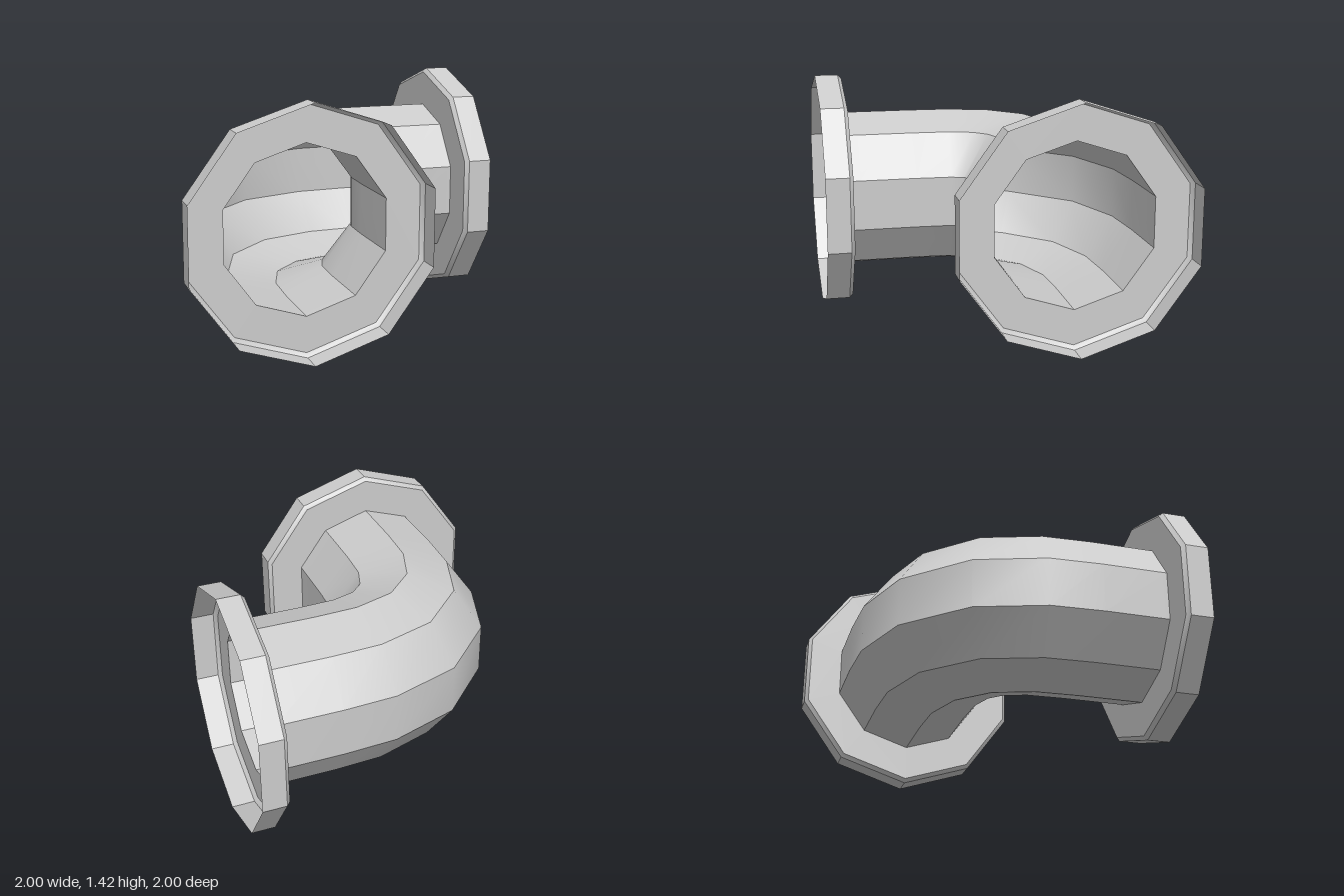
import * as THREE from 'three';
import { toCreasedNormals } from 'three/addons/utils/BufferGeometryUtils.js';

const SIDES = 10;
const AXIS = -0.323;   // offset of both pipe axes from the centre
const HEIGHT = 0.715;  // height of the pipe axis
const PIPE_R = 0.48;
const FLANGE_R = 0.712;

// Skin a row of ten-sided rings, each [x, z, turn in degrees, radius].
function loft(rings) {
  const positions = [];
  const index = [];
  rings.forEach(([x, z, turn, r], i) => {
    const a = THREE.MathUtils.degToRad(turn);
    for (let j = 0; j < SIDES; j++) {
      const t = Math.PI / 2 + (j / SIDES) * Math.PI * 2;
      const side = r * Math.cos(t);
      positions.push(x - side * Math.cos(a), HEIGHT + r * Math.sin(t), z - side * Math.sin(a));
      if (i === rings.length - 1) continue;
      const k = (j + 1) % SIDES;
      const p = i * SIDES + j, q = i * SIDES + k;
      index.push(p, q, p + SIDES, q, q + SIDES, p + SIDES);
    }
  });
  const geometry = new THREE.BufferGeometry();
  geometry.setAttribute('position', new THREE.Float32BufferAttribute(positions, 3));
  geometry.setIndex(index);
  return toCreasedNormals(geometry, THREE.MathUtils.degToRad(33));
}

// The elbow is symmetric about its diagonal: swap x and z and run backwards.
const mirrored = (rings) => rings.map(([x, z, turn, r]) => [z, x, 90 - turn, r]).reverse();

export function createModel() {
  const group = new THREE.Group();
  const material = new THREE.MeshStandardMaterial({ color: 0xcccccc, side: THREE.DoubleSide });
  const add = (name, rings) => {
    const mesh = new THREE.Mesh(loft(rings), material);
    mesh.name = name;
    group.add(mesh);
  };

  // Open pipe: straight end, then the bend up to the diagonal
  const halfPipe = [
    [AXIS, 0.84, 0, PIPE_R],
    [AXIS, 0.45, 0, PIPE_R],
    [-0.31, 0.19, 7.5, PIPE_R],
    [-0.23, -0.052, 30, PIPE_R],
  ];
  add('elbowPipe', [...halfPipe, ...mirrored(halfPipe)]);

  // Hollow flange: open rim, outer wall, chamfer, back plate
  const flange = [
    [AXIS, 1, 0, FLANGE_R],
    [AXIS, 0.862, 0, FLANGE_R],
    [AXIS, 0.84, 0, FLANGE_R - 0.023],
    [AXIS, 0.84, 0, PIPE_R],
  ];
  add('frontFlange', flange);
  add('leftFlange', mirrored(flange));

  return group;
}
